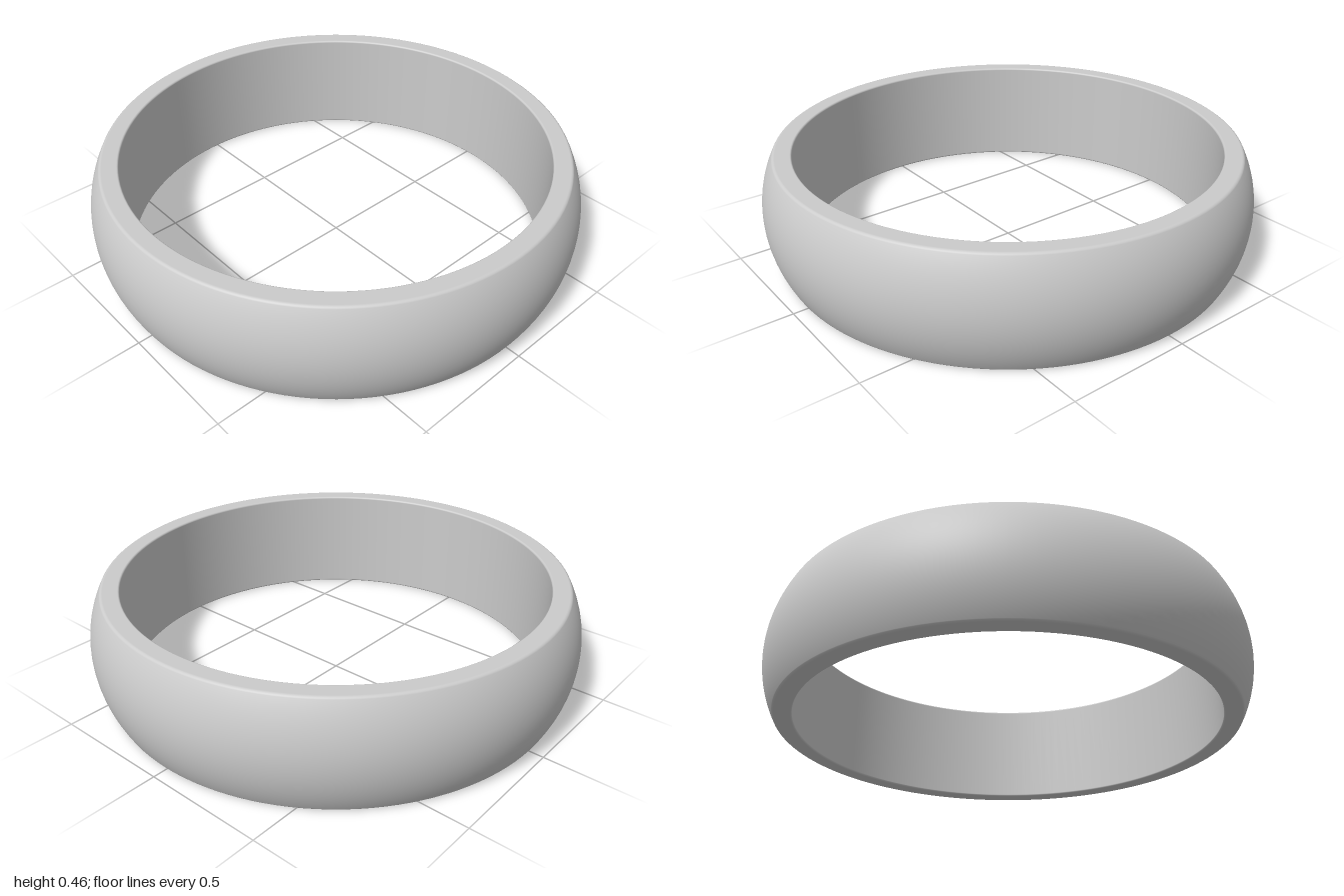
import * as THREE from 'three';

const HEIGHT = 0.455, INNER = 0.865, OUTER = 1;
const CROWN = 0.46;     // radius of the domed outer face
const FILLET = 0.015;   // rounding where the dome meets the flat rims
const SOFTEN = 0.008;   // rounding between the rims and the bore
const SIDES = 128;

// Points along a circular arc of the profile, each with its surface angle
function arc(cx, cy, r, from, to, steps) {
  return Array.from({ length: steps + 1 }, (_, i) => {
    const angle = from + (to - from) * i / steps;
    const point = new THREE.Vector2(cx + r * Math.cos(angle), cy + r * Math.sin(angle));
    return { point, angle };
  });
}

// Revolves the profile, taking smooth normals from the surface angles
function revolve(profile) {
  const geometry = new THREE.LatheGeometry(profile.map(p => p.point), SIDES);
  const normal = geometry.attributes.normal;
  for (let i = 0; i < normal.count; i++) {
    const phi = Math.floor(i / profile.length) / SIDES * Math.PI * 2;
    const { angle } = profile[i % profile.length];
    const out = Math.cos(angle);
    normal.setXYZ(i, out * Math.sin(phi), Math.sin(angle), out * Math.cos(phi));
  }
  return geometry;
}

export function createModel() {
  const group = new THREE.Group();
  group.name = 'ring';

  // Fillet circles sit inside the crown circle, tangent to it and to the rims
  const mid = HEIGHT / 2, crownX = OUTER - CROWN, quarter = Math.PI / 2;
  const dy = mid - FILLET;
  const dx = Math.sqrt((CROWN - FILLET) ** 2 - dy ** 2);
  const tilt = Math.atan2(dy, dx);

  // Cross-section: domed outside, flat rims, straight bore, rounded corners
  const profile = [
    ...arc(crownX + dx, FILLET, FILLET, -quarter, -tilt, 6),
    ...arc(crownX, mid, CROWN, -tilt, tilt, 20).slice(1, -1),
    ...arc(crownX + dx, HEIGHT - FILLET, FILLET, tilt, quarter, 6),
    ...arc(INNER + SOFTEN, HEIGHT - SOFTEN, SOFTEN, quarter, 2 * quarter, 6),
    ...arc(INNER + SOFTEN, SOFTEN, SOFTEN, 2 * quarter, 3 * quarter, 6),
  ];
  profile.push(profile[0]);

  const band = new THREE.Mesh(revolve(profile), new THREE.MeshStandardMaterial({ color: 0xf4f4f4 }));
  band.name = 'band';
  group.add(band);
  return group;
}
